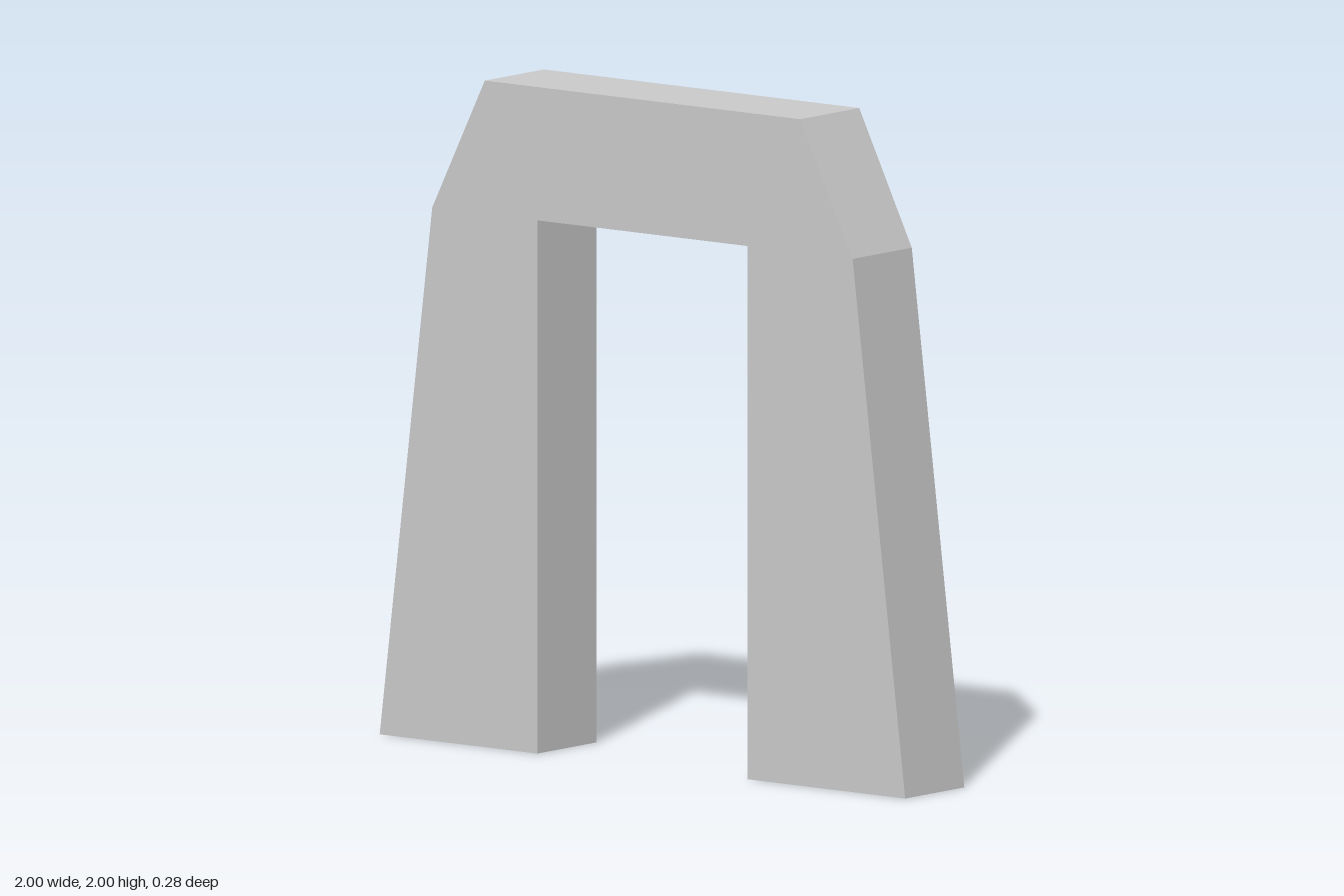
import * as THREE from 'three';

const DEPTH = 0.28;

export function createModel() {
  const group = new THREE.Group();
  group.name = 'archway';

  // One side of the outline, from the inner corner of the opening out to the top
  const half = [[0.4, 1.6], [0.4, 0], [1, 0], [0.8, 1.6], [0.6, 2]];
  const mirrored = half.map(([x, y]) => [-x, y]).reverse();
  const outline = [...half, ...mirrored].map(([x, y]) => new THREE.Vector2(x, y));

  // Flat slab with tapering legs and bevelled shoulders
  const geometry = new THREE.ExtrudeGeometry(new THREE.Shape(outline), {
    depth: DEPTH,
    bevelEnabled: false,
  });
  geometry.translate(0, 0, -DEPTH / 2);

  const material = new THREE.MeshStandardMaterial({ color: 0xcccccc, flatShading: true });
  const arch = new THREE.Mesh(geometry, material);
  arch.name = 'archFrame';
  group.add(arch);
  return group;
}
